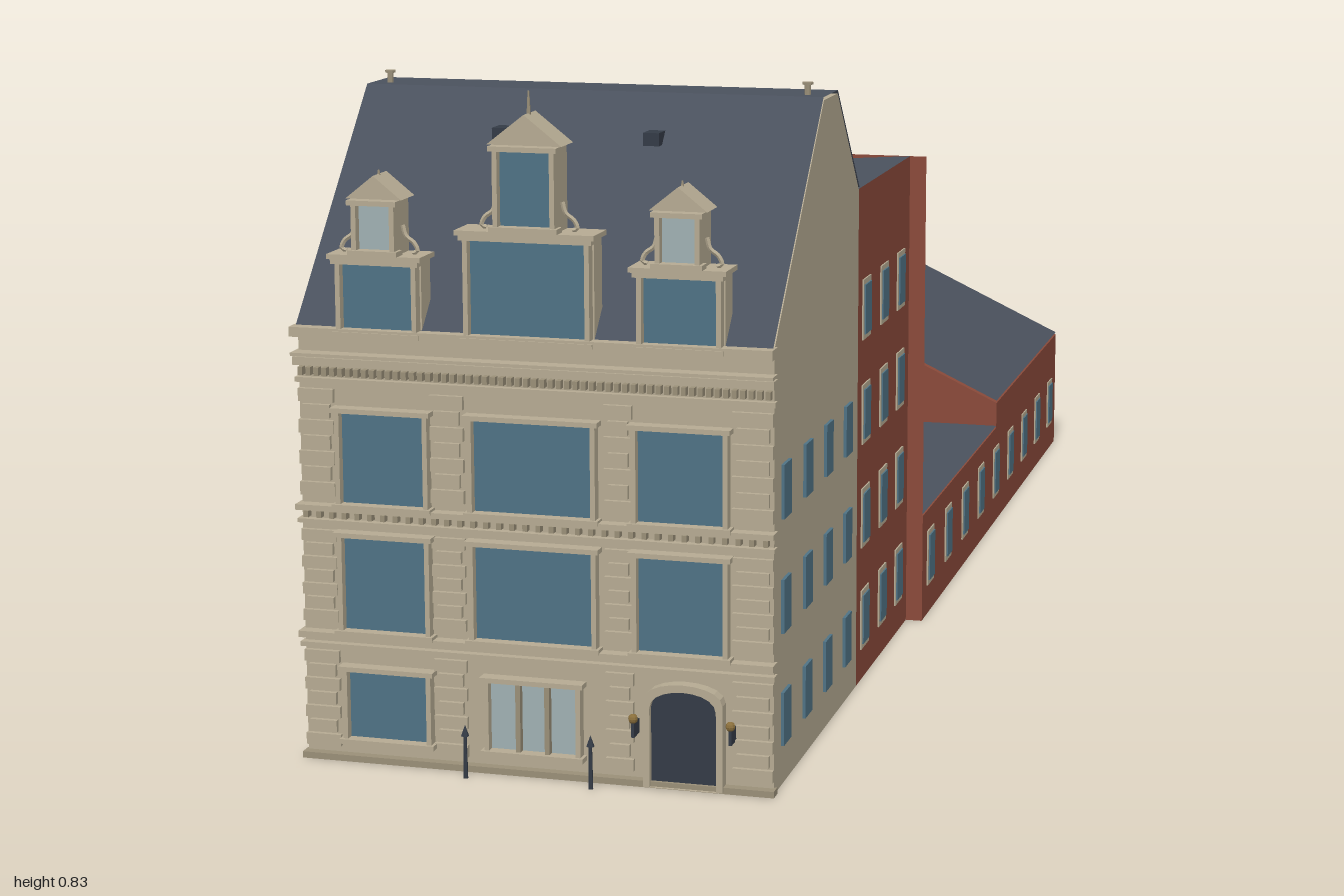
import * as THREE from 'three';

const mat = (color) => new THREE.MeshStandardMaterial({ color, flatShading: true, side: THREE.DoubleSide });
const STONE = mat(0xb5aa92), BRICK = mat(0x8a4a3a), SLATE = mat(0x4a515d), GLASS = mat(0x4f7284);
const PALE = mat(0x9fb0b2), DARK = mat(0x343b46), TRIM = mat(0x9a8f78), BRASS = mat(0x8a6f3c);
const XL = -0.31, XR = 0.282, CX = -0.014, WX = 0.305, WALL = 0.96;

export function createModel() {
  const root = new THREE.Group();
  let parent = root;
  const section = (name) => {
    parent = new THREE.Group();
    parent.name = name;
    root.add(parent);
  };
  const add = (name, geo, material, x = 0, y = 0, z = 0) => {
    const m = new THREE.Mesh(geo, material);
    m.name = name;
    m.position.set(x, y, z);
    parent.add(m);
    return m;
  };
  const box = (name, material, x0, x1, y0, y1, z0, z1) =>
    add(name, new THREE.BoxGeometry(x1 - x0, y1 - y0, z1 - z0), material, (x0 + x1) / 2, (y0 + y1) / 2, (z0 + z1) / 2);
  // Flat polygon from corners, counter-clockwise seen from outside
  const poly = (name, material, ...pts) => {
    const pos = [];
    for (let i = 1; i < pts.length - 1; i++) pos.push(...pts[0], ...pts[i], ...pts[i + 1]);
    const g = new THREE.BufferGeometry();
    g.setAttribute('position', new THREE.Float32BufferAttribute(pos, 3));
    g.computeVertexNormals();
    return add(name, g, material);
  };

  // Front house: gabled prism with slate panels over it
  section('frontHouse');
  const prof = [[0.96, 0], [0.96, 0.54], [0.715, 0.802], [0.64, 0.802], [0.515, 0.663], [0.515, 0]];
  const shape = new THREE.Shape(prof.map(([z, y]) => new THREE.Vector2(-z, y)));
  const body = add('houseBody', new THREE.ExtrudeGeometry(shape, { depth: XR - XL, bevelEnabled: false }), STONE, XL);
  body.rotation.y = Math.PI / 2;
  const roof = [[0.968, 0.54], [0.717, 0.806], [0.639, 0.806], [0.512, 0.667]];
  for (let i = 0; i < 3; i++) {
    const [z0, y0] = roof[i], [z1, y1] = roof[i + 1];
    poly('roofSlope', SLATE, [XL, y0, z0], [XR, y0, z0], [XR, y1, z1], [XL, y1, z1]);
  }
  for (const x of [-0.287, 0.257]) {
    add('chimneyPipe', new THREE.CylinderGeometry(0.004, 0.004, 0.016, 8), TRIM, x, 0.812, 0.695);
    add('chimneyCap', new THREE.CylinderGeometry(0.007, 0.007, 0.003, 8), TRIM, x, 0.82, 0.695);
  }
  for (const x of [-0.111, 0.083]) box('roofVent', DARK, x - 0.01, x + 0.01, 0.748, 0.764, 0.755, 0.785);

  // Middle block: open brick shell, half covered by a slate triangle
  section('middleBlock');
  const H = 0.665, ZB = 0.19, ZM = 0.515;
  poly('rightWall', BRICK, [XL, 0, ZB], [XL, 0, ZM], [XL, H, ZM], [XL, H, ZB]);
  poly('leftWall', BRICK, [XR, 0, ZM], [XR, 0, ZB], [XR, H, ZB], [XR, H, ZM]);
  poly('backWall', BRICK, [WX, 0, ZB], [XL, 0, ZB], [XL, H, ZB], [WX, H, ZB]);
  poly('floor', BRICK, [XL, 0.001, ZM], [XR, 0.001, ZM], [XR, 0.001, ZB], [XL, 0.001, ZB]);
  poly('roofTriangle', SLATE, [XL, H, ZM], [XR, H, ZM], [XR, H, ZB]);
  box('skylight', GLASS, -0.08, 0.048, 0.662, 0.672, 0.275, 0.425);
  for (let i = 0; i < 5; i++) {
    const x = -0.08 + i * 0.032;
    box('skylightBar', SLATE, x - 0.002, x + 0.002, 0.662, 0.677, 0.275, 0.425);
  }

  // Rear wing: flat-roofed link and gabled hall
  section('rearWing');
  const ZG = -0.4, ZE = -0.995;
  box('linkWalls', BRICK, -WX, WX, 0, 0.153, ZG, ZB - 0.001);
  poly('linkRoof', SLATE, [-WX, 0.156, ZG], [-WX, 0.156, ZB], [WX, 0.156, ZB], [WX, 0.156, ZG]);
  const hall = new THREE.Shape([[-WX, 0], [WX, 0], [WX, 0.193], [0, 0.337], [-WX, 0.193]].map((p) => new THREE.Vector2(...p)));
  add('hallBody', new THREE.ExtrudeGeometry(hall, { depth: ZG - ZE, bevelEnabled: false }), BRICK, 0, 0, ZE);
  for (const s of [-1, 1])
    poly('hallRoof', SLATE, [s * WX, 0.197, s > 0 ? ZG : ZE], [s * WX, 0.197, s > 0 ? ZE : ZG],
      [0, 0.341, s > 0 ? ZE : ZG], [0, 0.341, s > 0 ? ZG : ZE]);

  // Side and back windows
  section('sideWindows');
  const sideWindow = (x, y, z, framed) => {
    if (framed) box('windowFrame', STONE, x - 0.002, x + 0.002, y - 0.04, y + 0.04, z - 0.023, z + 0.023);
    box('windowPane', GLASS, x - 0.004, x + 0.004, y - 0.033, y + 0.033, z - 0.018, z + 0.018);
  };
  for (const x of [XL, XR]) {
    for (const y of [0.083, 0.222, 0.362]) for (const z of [0.908, 0.798, 0.688, 0.578]) sideWindow(x, y, z, false);
    for (const y of [0.083, 0.222, 0.362, 0.502]) for (const z of [0.468, 0.358, 0.25]) sideWindow(x, y, z, true);
  }
  for (const x of [-WX, WX]) for (let i = 0; i < 9; i++) sideWindow(x, 0.083, 0.134 - i * 0.133, true);
  for (const x of [-0.23, -0.077, 0.077, 0.23]) {
    box('backFrame', STONE, x - 0.023, x + 0.023, 0.045, 0.125, ZE - 0.003, ZE);
    box('backPane', GLASS, x - 0.018, x + 0.018, 0.051, 0.119, ZE - 0.005, ZE);
  }

  // Street facade: bands, rustication and windows
  section('facade');
  const band = (name, y0, y1, d, material = STONE) => box(name, material, XL - 0.003, XR + 0.003, y0, y1, WALL - 0.005, WALL + d);
  band('plinth', 0, 0.008, 0.012, TRIM);
  for (const [y, h, d] of [[0.142, 0.006, 0.01], [0.155, 0.008, 0.016], [0.298, 0.005, 0.01], [0.315, 0.007, 0.016],
    [0.472, 0.006, 0.008], [0.494, 0.01, 0.014], [0.506, 0.004, 0.02], [0.53, 0.012, 0.022]]) band('cornice', y, y + h, d);
  for (const [y, h, n] of [[0.481, 0.01, 58], [0.305, 0.008, 36]])
    for (let i = 0; i < n; i++) {
      const x = XL + (i + 0.5) * (XR - XL) / n;
      box('dentil', TRIM, x - 0.003, x + 0.003, y, y + h, WALL, WALL + 0.01);
    }
  const piers = [[XL, -0.265], [-0.142, -0.1], [0.075, 0.11], [0.232, XR]];
  for (const [y0, y1] of [[0.014, 0.138], [0.172, 0.29], [0.33, 0.465]])
    for (const [a, b] of piers) {
      const n = 7, h = (y1 - y0) / n;
      for (let i = 0; i < n; i++) {
        const inset = i % 2 ? 0.005 : 0;
        box('rusticBlock', STONE, a + inset, b - inset, y0 + i * h + 0.002, y0 + (i + 1) * h - 0.001, WALL, WALL + 0.006);
      }
    }
  const windowAt = (x0, x1, y0, y1, z = WALL, panes = 1, glass = GLASS) => {
    const t = 0.006;
    box('windowGlass', glass, x0, x1, y0, y1, z - 0.002, z + 0.003);
    for (const x of [x0 - t, x1]) box('windowJamb', STONE, x, x + t, y0, y1, z - 0.003, z + 0.014);
    box('windowSill', STONE, x0 - 0.01, x1 + 0.01, y0 - 0.006, y0, z - 0.003, z + 0.018);
    box('windowHead', STONE, x0 - 0.01, x1 + 0.01, y1, y1 + 0.006, z - 0.003, z + 0.018);
    for (let i = 1; i < panes; i++) {
      const x = x0 + (x1 - x0) * i / panes;
      box('windowPost', TRIM, x - 0.003, x + 0.003, y0, y1, z, z + 0.012);
    }
  };
  const bays = [[-0.255, -0.149], [-0.087, 0.061], [0.117, 0.223]];
  for (const [y0, y1] of [[0.167, 0.284], [0.325, 0.438]]) for (const [a, b] of bays) windowAt(a, b, y0, y1);
  windowAt(-0.252, -0.15, 0.03, 0.116);
  windowAt(-0.07, 0.04, 0.03, 0.116, WALL, 3, PALE);

  // Arched entrance
  const arch = (w, h) => {
    const s = new THREE.Shape();
    s.moveTo(-w, 0);
    s.lineTo(w, 0);
    s.lineTo(w, h - 0.03);
    s.bezierCurveTo(w, h, -w, h, -w, h - 0.03);
    return s;
  };
  const surround = arch(0.049, 0.137);
  surround.holes.push(arch(0.041, 0.128));
  add('doorSurround', new THREE.ExtrudeGeometry(surround, { depth: 0.016, bevelEnabled: false, curveSegments: 10 }), STONE, 0.174, 0.002, WALL);
  add('door', new THREE.ExtrudeGeometry(arch(0.042, 0.13), { depth: 0.008, bevelEnabled: false, curveSegments: 10 }), DARK, 0.174, 0.002, WALL);
  for (const x of [0.114, 0.234]) {
    box('lampBracket', DARK, x - 0.002, x + 0.002, 0.064, 0.082, WALL, WALL + 0.022);
    add('lamp', new THREE.SphereGeometry(0.006, 8, 6), BRASS, x, 0.087, WALL + 0.02);
  }
  for (const x of [-0.093, 0.065]) {
    add('bollard', new THREE.CylinderGeometry(0.002, 0.003, 0.055, 6), DARK, x, 0.0275, 0.994);
    add('bollardTip', new THREE.ConeGeometry(0.005, 0.014, 6), DARK, x, 0.06, 0.994);
  }

  // Dormers standing on the cornice, each with a small gabled top
  section('dormers');
  const dormer = (x, w, top, w2, eave, peak, tip, glass) => {
    const y0 = 0.535;
    box('dormerBody', STONE, x - w, x + w, y0, top, 0.935, 0.966);
    windowAt(x - w + 0.008, x + w - 0.008, y0 + 0.004, top - 0.012, 0.966);
    box('dormerCornice', STONE, x - w - 0.006, x + w + 0.006, top - 0.006, top, 0.935, 0.986);
    box('gabletBody', STONE, x - w2, x + w2, top, eave, 0.935, 0.972);
    windowAt(x - w2 + 0.006, x + w2 - 0.006, top + 0.006, eave - 0.007, 0.971, 1, glass);
    const tri = new THREE.Shape([[-w2 - 0.008, 0], [w2 + 0.008, 0], [0, peak - eave]].map((p) => new THREE.Vector2(...p)));
    add('pediment', new THREE.ExtrudeGeometry(tri, { depth: 0.045, bevelEnabled: false }), STONE, x, eave, 0.935);
    add('finial', new THREE.CylinderGeometry(0.001, 0.003, tip - peak + 0.008, 6), TRIM, x, (tip + peak - 0.008) / 2, 0.96);
    for (const s of [-1, 1]) {
      const curve = new THREE.CatmullRomCurve3([[0, 0.035], [0.004, 0.022], [0.014, 0.014], [0.018, 0.004], [0.012, 0.002]]
        .map(([u, v]) => new THREE.Vector3(x + s * (w2 + 0.003 + u), top + v, 0.962)));
      add('scroll', new THREE.TubeGeometry(curve, 12, 0.003, 5), STONE);
    }
  };
  dormer(-0.202, 0.053, 0.633, 0.027, 0.7, 0.728, 0.733, PALE);
  dormer(0.172, 0.053, 0.633, 0.027, 0.7, 0.728, 0.733, PALE);
  dormer(CX, 0.08, 0.668, 0.038, 0.77, 0.806, 0.832, GLASS);
  return root;
}
